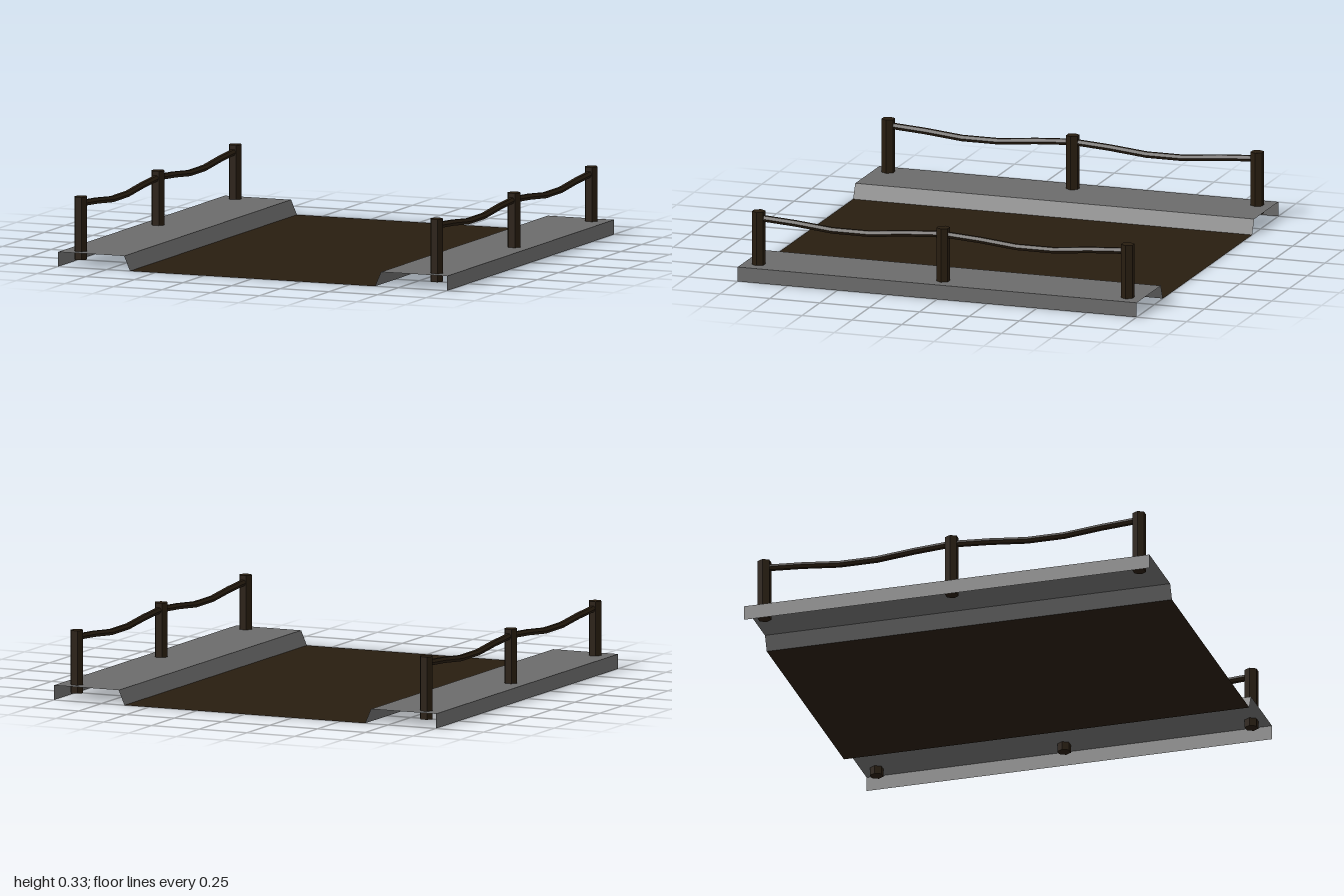
import * as THREE from 'three';

const stone = new THREE.MeshStandardMaterial({ color: 0x6b6b6b, flatShading: true, side: THREE.DoubleSide });
const wood = new THREE.MeshStandardMaterial({ color: 0x281d10, flatShading: true, side: THREE.DoubleSide });

const LENGTH = 2;
const POST_X = 0.915;
const POST_Z = 0.925;

function add(parent, name, geometry, material) {
  const mesh = new THREE.Mesh(geometry, material);
  mesh.name = name;
  parent.add(mesh);
  return mesh;
}

// Thin sheet: an open [x, y] profile swept along z, normals up for left-to-right profiles
function sheet(profile) {
  const pos = [];
  const h = LENGTH / 2;
  for (let i = 0; i < profile.length - 1; i++) {
    const [ax, ay] = profile[i];
    const [bx, by] = profile[i + 1];
    pos.push(ax, ay, h, bx, by, h, bx, by, -h, ax, ay, h, bx, by, -h, ax, ay, -h);
  }
  const g = new THREE.BufferGeometry();
  g.setAttribute('position', new THREE.Float32BufferAttribute(pos, 3));
  g.computeVertexNormals();
  return g;
}

// Sagging rope between two posts
function rope(x, z0, z1) {
  const heights = [0.297, 0.285, 0.267, 0.267, 0.285, 0.297];
  const points = heights.map((y, i) => new THREE.Vector3(x, y, THREE.MathUtils.lerp(z0, z1, i / 5)));
  return new THREE.TubeGeometry(new THREE.CatmullRomCurve3(points), 5, 0.016, 6);
}

export function createModel() {
  const model = new THREE.Group();
  model.name = 'bridgeSection';

  // Sunken roadway
  add(model, 'roadway', sheet([[-0.63, 0], [0.63, 0]]), wood);

  for (const [side, s] of [['left', 1], ['right', -1]]) {
    // Raised walkway with sloped kerb and outer skirt
    const profile = [[0.63, 0], [0.66, 0.07], [1, 0.07], [1, 0]].map(([x, y]) => [s * x, y]);
    if (s < 0) profile.reverse();
    add(model, side + 'Walkway', sheet(profile), stone);

    // Six-sided posts and the ropes joining them
    const railing = new THREE.Group();
    railing.name = side + 'Railing';
    model.add(railing);
    for (const z of [-POST_Z, 0, POST_Z]) {
      const post = add(railing, 'post', new THREE.CylinderGeometry(0.033, 0.033, 0.3, 6), wood);
      post.rotation.y = Math.PI / 6;
      post.position.set(s * POST_X, 0.18, z);
    }
    add(railing, 'frontRope', rope(s * POST_X, POST_Z, 0), wood);
    add(railing, 'backRope', rope(s * POST_X, 0, -POST_Z), wood);
  }
  return model;
}
